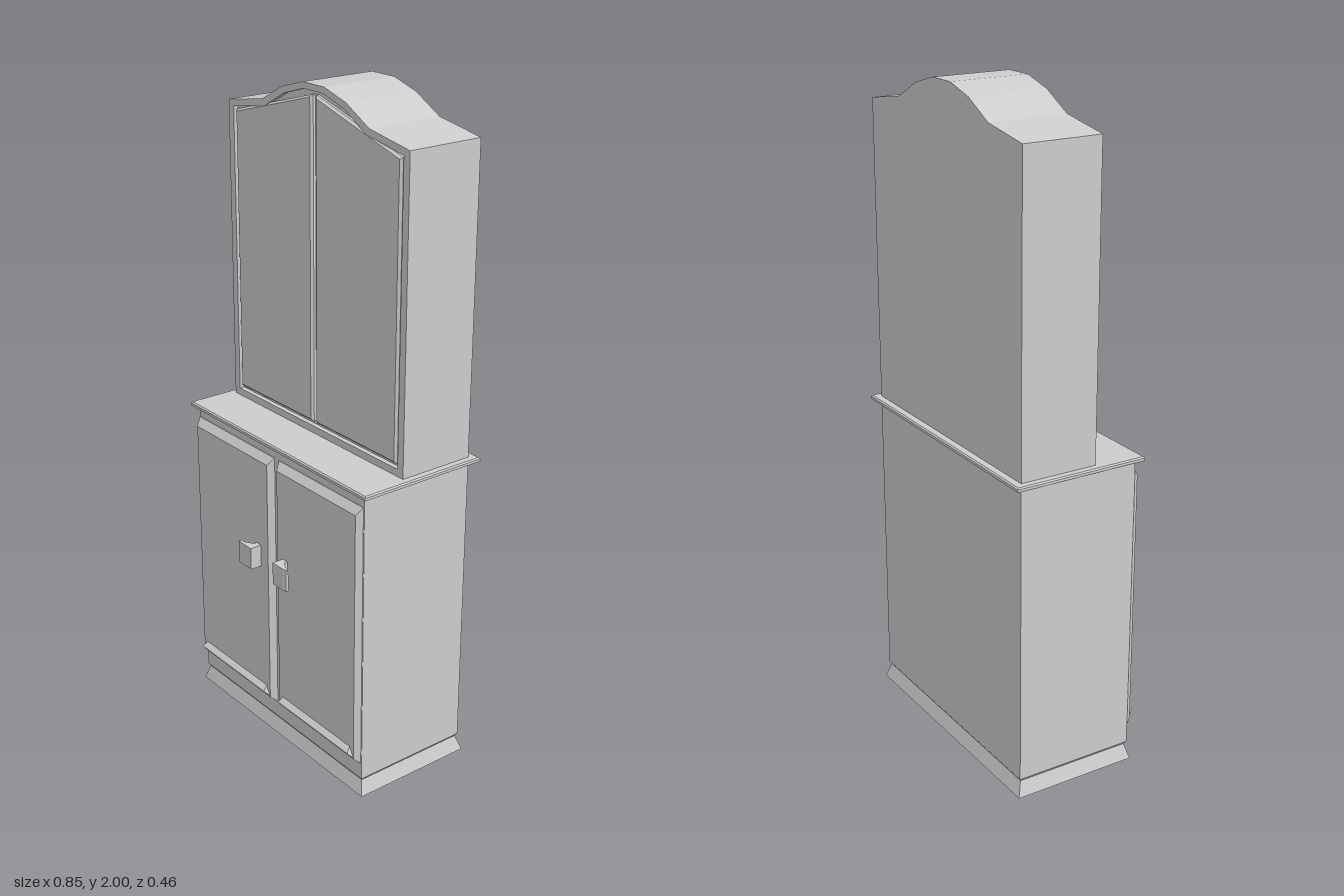
import * as THREE from 'three';

const material = new THREE.MeshStandardMaterial({ color: 0xcccccc, flatShading: true });

function add(parent, name, geometry) {
  const mesh = new THREE.Mesh(geometry, material);
  mesh.name = name;
  parent.add(mesh);
  return mesh;
}

// Solid through rectangular sections [x0, x1, b0, b1, level].
// axis 'y': b is z, level is y.  axis 'z': b is y, level is z.
function loft(sections, axis) {
  const rings = sections.map(([x0, x1, b0, b1, l]) => axis === 'z'
    ? [[x0, b0, l], [x1, b0, l], [x1, b1, l], [x0, b1, l]]
    : [[x0, l, b1], [x1, l, b1], [x1, l, b0], [x0, l, b0]]);
  const pos = [];
  const quad = (a, b, c, d) => pos.push(...a, ...b, ...c, ...a, ...c, ...d);
  for (let i = 0; i < rings.length - 1; i++) {
    for (let k = 0; k < 4; k++) {
      const n = (k + 1) % 4;
      quad(rings[i][k], rings[i][n], rings[i + 1][n], rings[i + 1][k]);
    }
  }
  const first = rings[0], last = rings[rings.length - 1];
  quad(first[3], first[2], first[1], first[0]);
  quad(last[0], last[1], last[2], last[3]);
  const g = new THREE.BufferGeometry();
  g.setAttribute('position', new THREE.Float32BufferAttribute(pos, 3));
  g.computeVertexNormals();
  return g;
}

const toShape = (pts) => new THREE.Shape(pts.map(([x, y]) => new THREE.Vector2(x, y)));

// Symmetric outline from a flat bottom and the right half of an arched top
function archOutline(bottom, half) {
  const w = half[0][0];
  const left = half.map(([x, y]) => [-x, y]).reverse();
  return [[-w, bottom], [w, bottom], ...half, ...left];
}

function extrude(shape, z0, z1) {
  const g = new THREE.ExtrudeGeometry(shape, { depth: z1 - z0, bevelEnabled: false });
  return g.translate(0, 0, z0);
}

export function createModel() {
  const model = new THREE.Group();
  model.name = 'cabinet';

  // Lower cabinet
  add(model, 'plinth', loft([
    [-0.41, 0.41, -0.217, 0.177, 0],
    [-0.394, 0.394, -0.202, 0.164, 0.046]], 'y'));
  add(model, 'lowerBody', loft([
    [-0.394, 0.394, -0.202, 0.164, 0.046],
    [-0.4, 0.4, -0.207, 0.17, 0.055],
    [-0.4, 0.4, -0.207, 0.17, 0.97]], 'y'));
  add(model, 'countertop', loft([
    [-0.414, 0.414, -0.223, 0.178, 0.967],
    [-0.423, 0.423, -0.232, 0.187, 0.972],
    [-0.423, 0.423, -0.232, 0.187, 0.98],
    [-0.419, 0.419, -0.228, 0.183, 0.984]], 'y'));

  for (const side of [-1, 1]) {
    const span = (a, b) => (side > 0 ? [a, b] : [-b, -a]);
    const door = new THREE.Group();
    door.name = side > 0 ? 'leftLowerDoor' : 'rightLowerDoor';
    model.add(door);

    // Bevelled door with a projecting bottom ledge
    add(door, 'doorPanel', loft([
      [...span(0.012, 0.398), 0.11, 0.938, 0.165],
      [...span(0.012, 0.398), 0.11, 0.938, 0.172],
      [...span(0.024, 0.386), 0.125, 0.915, 0.19]], 'z'));
    add(door, 'doorLedge', loft([
      [...span(0.012, 0.398), 0.165, 0.172, 0.11],
      [...span(0.036, 0.376), 0.165, 0.205, 0.145],
      [...span(0.042, 0.368), 0.165, 0.19, 0.16]], 'y'));

    // Flared handle, profile seen from above
    const profile = [[0.055, 0.185], [0.055, 0.227], [0.104, 0.227], [0.118, 0.225],
      [0.118, 0.217], [0.104, 0.216], [0.077, 0.2], [0.077, 0.185]];
    const handle = extrude(toShape(profile.map(([x, z]) => [side * x - 0.005, -z])), 0.57, 0.64);
    add(door, 'handle', handle.rotateX(-Math.PI / 2));
  }

  // Upper cabinet with arched top and framed opening
  const top = [[0.4, 1.895], [0.237, 1.922], [0.14, 1.973], [0.047, 1.999]];
  const opening = [[0.376, 1.878], [0.225, 1.904], [0.132, 1.955], [0.044, 1.981]];
  const outline = archOutline(0.98, top);
  add(model, 'upperBody', extrude(toShape(outline), -0.207, 0.02));
  const frame = toShape(outline);
  frame.holes.push(new THREE.Path(archOutline(1.006, opening)
    .map(([x, y]) => new THREE.Vector2(x, y))));
  add(model, 'upperFrame', extrude(frame, 0.02, 0.035));

  // Upper doors with sloping tops and bevelled edges
  for (const side of [-1, 1]) {
    const pts = [[0.014, 1.024], [0.361, 1.024], [0.361, 1.866], [0.014, 1.963]];
    const panel = new THREE.ExtrudeGeometry(toShape(pts.map(([x, y]) => [side * x, y])), {
      depth: 0.008, bevelEnabled: true, bevelSegments: 1, bevelSize: 0.007, bevelThickness: 0.007,
    }).translate(0, 0, 0.021);
    add(model, side > 0 ? 'leftUpperDoor' : 'rightUpperDoor', panel);
  }
  return model;
}
